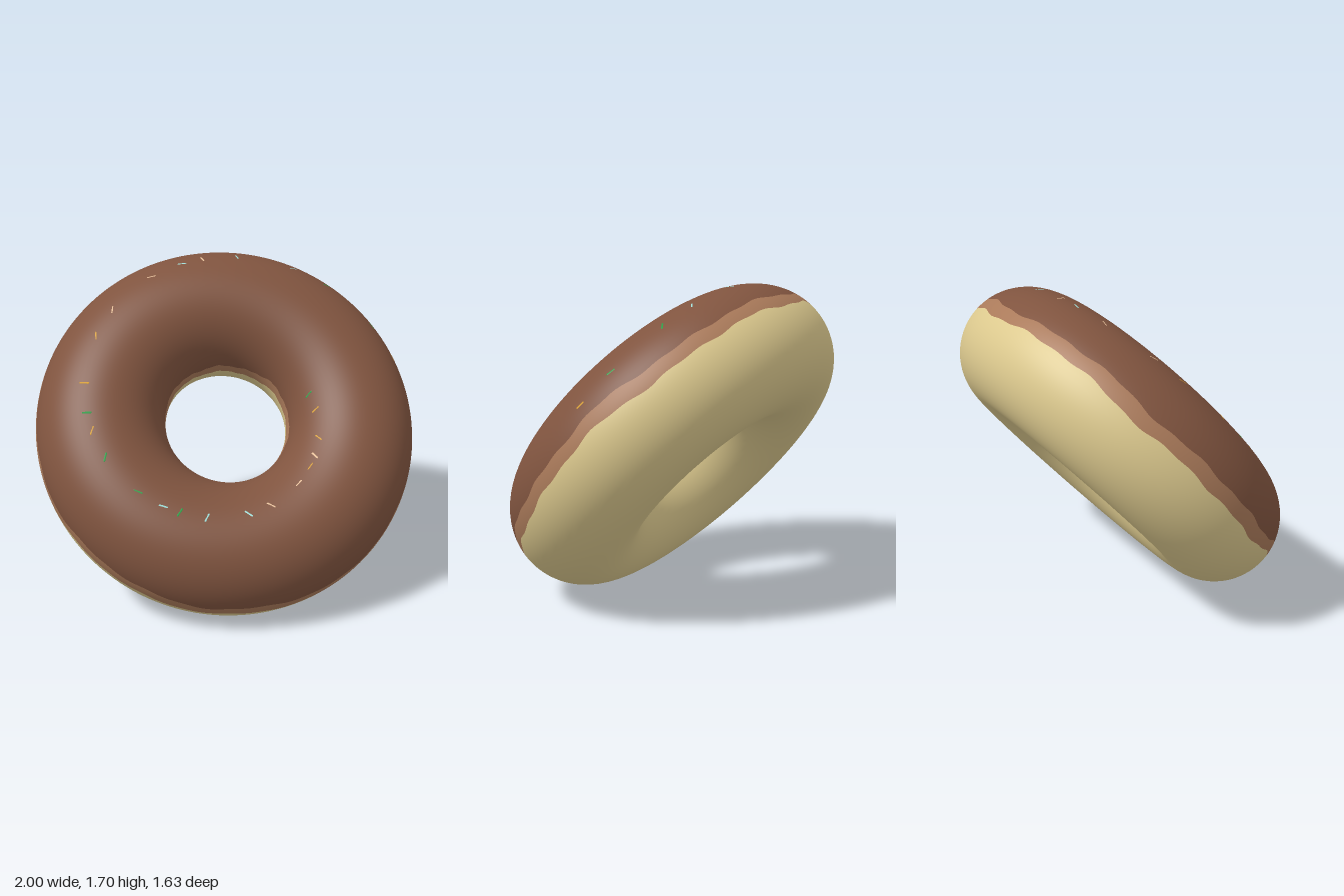
import * as THREE from 'three';
import { ParametricGeometry } from 'three/addons/geometries/ParametricGeometry.js';

const R = 0.673, TUBE = 0.345;

const mat = (name, color) => {
  const m = new THREE.MeshStandardMaterial({ color });
  m.name = name;
  return m;
};

// point on the ring: theta goes round the hole, phi round the tube
function onRing(theta, phi, r, target) {
  const rho = R + r * Math.cos(phi);
  return target.set(rho * Math.cos(theta), r * Math.sin(phi), rho * Math.sin(theta));
}

// wavy drip line, as an angle above the middle of the tube
const wave = (t, s) =>
  0.035 * Math.sin(3 * t + s) + 0.025 * Math.sin(7 * t + 2 * s) +
  0.018 * Math.sin(13 * t + 3 * s) + 0.012 * Math.sin(29 * t + s);
const outerLow = t => 0.01 + wave(t, 0.6);
const outerHigh = t => 0.22 + wave(t, 0.9);
const innerHigh = t => Math.PI - 0.2 - 0.7 * wave(t, 2.1);
const innerLow = t => Math.PI - 0.02 - 0.7 * wave(t, 1.8);

// strip of the tube between two drip lines
function strip(name, from, to, slices, material) {
  const geo = new ParametricGeometry((u, v, target) => {
    const t = v * Math.PI * 2;
    onRing(t, from(t) + (to(t) - from(t)) * u, TUBE, target);
  }, slices, 240);
  // exact smooth normals
  const p = geo.attributes.position, n = geo.attributes.normal;
  for (let i = 0; i < p.count; i++) {
    const x = p.getX(i), y = p.getY(i), z = p.getZ(i), k = R / Math.hypot(x, z);
    n.setXYZ(i, (x - x * k) / TUBE, y / TUBE, (z - z * k) / TUBE);
  }
  const mesh = new THREE.Mesh(geo, material);
  mesh.name = name;
  return mesh;
}

export function createModel() {
  const dough = mat('dough', 0xdcc98e);
  const icing = mat('icing', 0x80543f);
  const icingEdge = mat('icing edge', 0xaa7a5a);
  const sprinkleMats = [
    mat('orange sprinkle', 0xd9a030), mat('green sprinkle', 0x2fa04a),
    mat('pale blue sprinkle', 0x9fe0da), mat('cream sprinkle', 0xf0c8a0),
  ];

  const ring = new THREE.Group();
  ring.name = 'doughnut';
  ring.add(
    strip('dough', innerLow, t => outerLow(t) + Math.PI * 2, 36, dough),
    strip('outerIcingEdge', outerLow, outerHigh, 4, icingEdge),
    strip('icing', outerHigh, innerHigh, 32, icing),
    strip('innerIcingEdge', innerHigh, innerLow, 4, icingEdge),
  );

  // sprinkles sunk almost completely into the icing
  const sprinkles = new THREE.Group();
  sprinkles.name = 'sprinkles';
  const capsule = new THREE.CapsuleGeometry(0.01, 0.04, 3, 8);
  const up = new THREE.Vector3(0, 1, 0);
  for (let i = 0; i < 26; i++) {
    const theta = i * 2.39996, phi = 0.5 + 1.9 * ((i * 0.618) % 1), spin = i * 1.7;
    const s = new THREE.Mesh(capsule, sprinkleMats[i % 4]);
    s.name = 'sprinkle';
    onRing(theta, phi, TUBE - 0.0088, s.position);
    const round = new THREE.Vector3(-Math.sin(theta), 0, Math.cos(theta));
    const across = new THREE.Vector3(
      -Math.sin(phi) * Math.cos(theta), Math.cos(phi), -Math.sin(phi) * Math.sin(theta));
    const dir = round.multiplyScalar(Math.cos(spin)).addScaledVector(across, Math.sin(spin));
    s.quaternion.setFromUnitVectors(up, dir.normalize());
    sprinkles.add(s);
  }
  ring.add(sprinkles);

  // lean the ring back so the icing looks forward and up
  const axis = new THREE.Vector3(-0.23, 0.656, 0.716).normalize();
  ring.quaternion.setFromUnitVectors(up, axis);
  ring.position.y = R * Math.sqrt(1 - axis.y * axis.y) + TUBE;

  const model = new THREE.Group();
  model.name = 'model';
  model.add(ring);
  return model;
}
